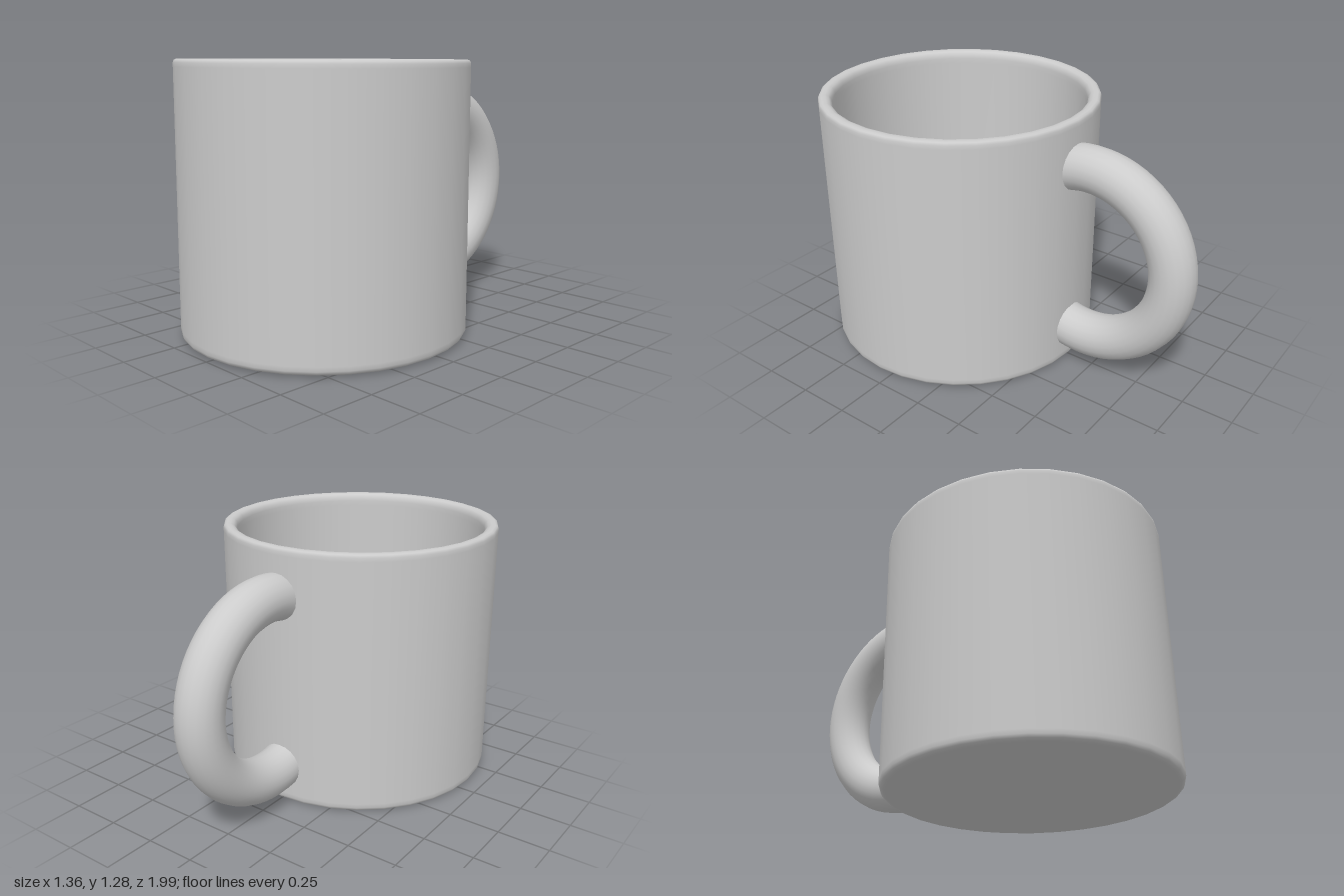
import * as THREE from 'three';

const CUP_Z = 0.315;

export function createModel() {
  const model = new THREE.Group();
  model.name = 'mug';
  const material = new THREE.MeshStandardMaterial({ color: 0xcccccc });

  // Cup: one closed profile, from under the base, over the rim, down to the inner floor
  const profile = [
    [0, 0.004], [0.645, 0.006], [0.66, 0.008], [0.673, 0.016], [0.68, 0.03], [0.68, 0.05],
    [0.68, 1.25], [0.68, 1.268], [0.675, 1.28], [0.664, 1.284], [0.645, 1.284],
    [0.63, 1.278], [0.619, 1.265], [0.616, 1.245], [0.616, 1.22],
    [0.616, 0.11], [0.613, 0.09], [0.604, 0.076], [0.585, 0.07], [0, 0.07],
  ].map(([r, y]) => new THREE.Vector2(r, y));
  const cup = new THREE.Mesh(new THREE.LatheGeometry(profile, 32), material);
  cup.name = 'cup';
  cup.position.z = CUP_Z;
  cup.rotation.x = -0.005; // stands very slightly askew
  model.add(cup);

  // Handle: a little more than half a ring, its ends buried in the cup wall
  const overlap = 0.27;
  const arc = Math.PI + 2 * overlap;
  const ring = new THREE.TorusGeometry(0.44, 0.11, 20, 40, arc);
  ring.rotateZ(-arc / 2);
  ring.rotateY(Math.PI / 2);
  const handle = new THREE.Mesh(ring, material);
  handle.name = 'handle';
  handle.position.set(0, 0.62, -0.45);
  model.add(handle);

  return model;
}
